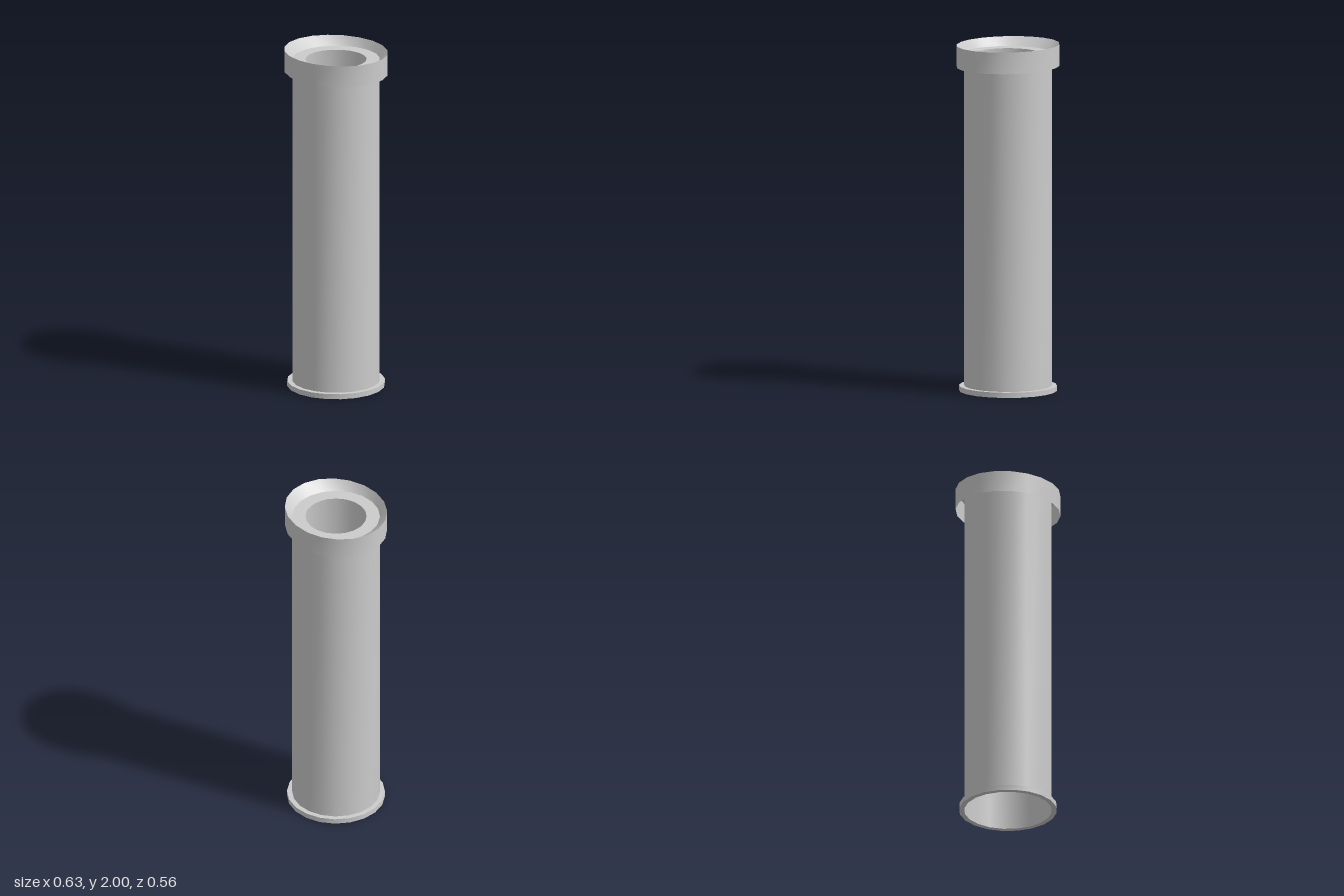
import * as THREE from 'three';
import { toCreasedNormals } from 'three/addons/utils/BufferGeometryUtils.js';

const SIDES = 20;
const material = new THREE.MeshStandardMaterial({ color: 0xcccccc, side: THREE.DoubleSide });

// Thin ruled band between two elliptical rings, each given as [radiusX, radiusZ, y]
function band(name, lower, upper) {
  const geometry = new THREE.CylinderGeometry(1, 1, 1, SIDES, 1, true);
  const p = geometry.attributes.position;
  for (let i = 0; i < p.count; i++) {
    const [rx, rz, y] = p.getY(i) > 0 ? upper : lower;
    p.setXYZ(i, p.getX(i) * rx, y, p.getZ(i) * rz);
  }
  const mesh = new THREE.Mesh(toCreasedNormals(geometry, Math.PI / 4), material);
  mesh.name = name;
  return mesh;
}

function part(name, ...meshes) {
  const group = new THREE.Group();
  group.name = name;
  group.add(...meshes);
  return group;
}

export function createModel() {
  const tube = 0.251, bore = 0.175, foot = 0.28;
  const rimX = 0.315, rimZ = 0.281;
  const collarY = 1.875, ledgeY = 1.95, footY = 0.03;

  return part('pipe',
    // Hollow shaft
    band('shaft', [tube, tube, 0], [tube, tube, ledgeY]),
    // Base flange
    part('baseFlange',
      band('flangeUnderside', [tube, tube, 0], [foot, foot, 0]),
      band('flangeEdge', [foot, foot, 0], [foot, foot, footY]),
      band('flangeTop', [foot, foot, footY], [tube, tube, footY])),
    // Oval collar, open underneath, with a funnel down to the bored ledge
    part('collar',
      band('collarWall', [rimX, rimZ, collarY], [rimX, rimZ, 2]),
      band('funnel', [tube, tube, ledgeY], [rimX, rimZ, 2]),
      band('ledge', [tube, tube, ledgeY], [bore, bore, ledgeY])));
}
